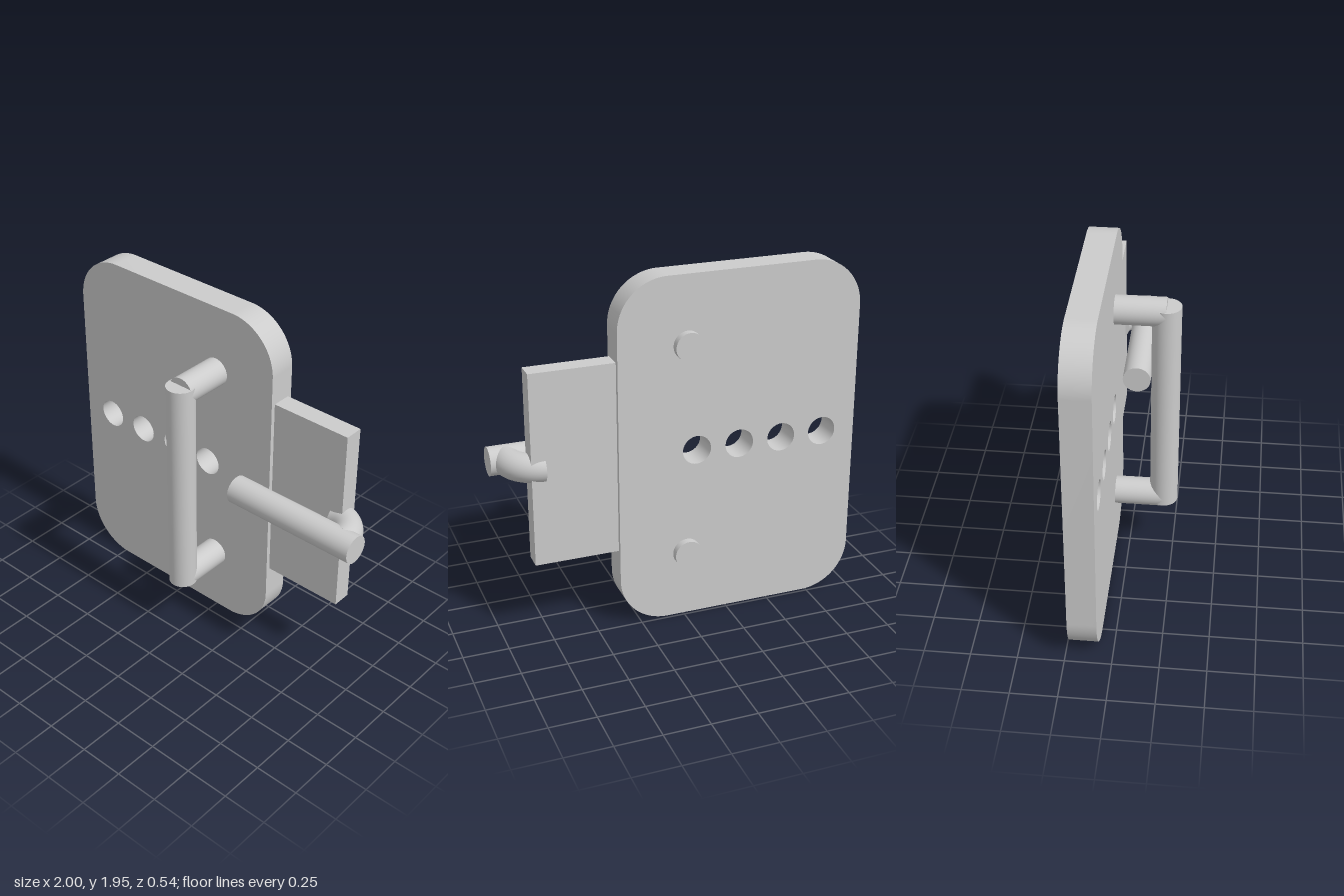
import * as THREE from 'three';
import { toCreasedNormals } from 'three/addons/utils/BufferGeometryUtils.js';

const R = 0.078;      // radius of all round bars
const MID = 0.98;     // height of the holes and bolt
const HANDLE_X = -0.018;

export function createModel() {
  const group = new THREE.Group();
  const material = new THREE.MeshStandardMaterial({ color: 0xcccccc });

  function add(name, geometry, x = 0, y = 0, z = 0) {
    const mesh = new THREE.Mesh(geometry, material);
    mesh.name = name;
    mesh.position.set(x, y, z);
    group.add(mesh);
    return mesh;
  }
  const bar = (length) => new THREE.CylinderGeometry(R, R, length, 40);

  // Rounded plate with a row of four through holes
  const x0 = -1, x1 = 0.363, h = 1.953, r = 0.27;
  const shape = new THREE.Shape();
  shape.absarc(x1 - r, r, r, -Math.PI / 2, 0);
  shape.absarc(x1 - r, h - r, r, 0, Math.PI / 2);
  shape.absarc(x0 + r, h - r, r, Math.PI / 2, Math.PI);
  shape.absarc(x0 + r, r, r, Math.PI, Math.PI * 1.5);
  shape.closePath();
  for (let i = 0; i < 4; i++) {
    const hole = new THREE.Path();
    hole.absarc(-0.806 + i * 0.244, MID, 0.08, 0, Math.PI * 2, true);
    shape.holes.push(hole);
  }
  const plate = new THREE.ExtrudeGeometry(shape, { depth: 0.155, bevelEnabled: false, curveSegments: 20 });
  add('plate', toCreasedNormals(plate, 0.6), 0, 0, -0.231);

  // Sliding tongue beside the plate
  add('tongue', new THREE.BoxGeometry(0.464, 1.075, 0.106), 0.592, 0.982, -0.153);

  // Pull handle: grip and two posts passing through the plate
  add('handleGrip', bar(1.266), HANDLE_X, 0.978, 0.194);
  for (const [name, y] of [['upperPost', 1.575], ['lowerPost', 0.381]]) {
    add(name, bar(0.466).rotateX(Math.PI / 2), HANDLE_X, y, -0.039);
  }

  // Bolt bar with a quarter bend joining it to the tongue
  add('boltBar', bar(0.786).rotateZ(Math.PI / 2), 0.607, MID, 0.016);
  const bend = new THREE.TorusGeometry(0.157, R, 32, 24, Math.PI / 2).rotateX(-Math.PI / 2);
  add('boltBend', bend, 0.748, MID, 0.003);
  add('boltBendEnd', new THREE.CircleGeometry(R, 32).rotateY(-Math.PI / 2), 0.748, MID, -0.154);
  add('boltBendRoot', new THREE.CircleGeometry(R, 32), 0.905, MID, 0.003);

  return group;
}
